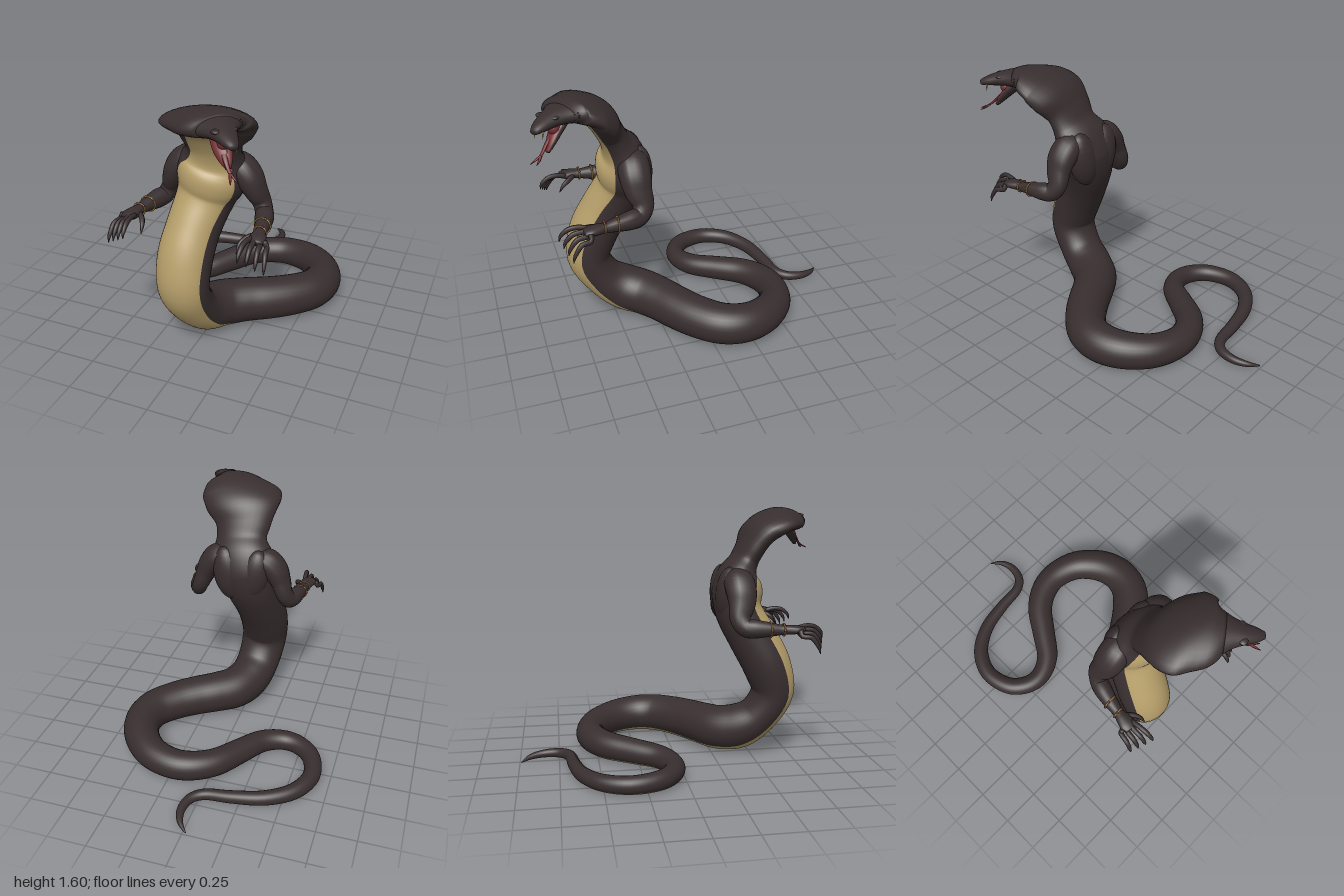
import * as THREE from 'three';

const flat = (name, color) => Object.assign(new THREE.MeshStandardMaterial({ color }), { name });
const mats = {
  hide: flat('dark hide', 0x382e2f),
  belly: flat('tan belly', 0xb59e6a),
  mouth: flat('mouth red', 0x722e32),
  bone: flat('fang bone', 0xc4b283),
  gold: flat('bracelet gold', 0xa5873f),
};
const rad = THREE.MathUtils.degToRad;

// Sweeps an oval along rows of [x, y, z, halfWidth, halfDepth, bellyPitch, bellyStart, droop, yaw].
// The belly faces +z at pitch 0 and down at pitch 90; it gets the second material.
// Droop lowers the right edge; yaw turns the section about the belly direction.
function sweep(name, rows, back, belly, steps = 4, nBelly = 16, nBack = 20) {
  const curve = (f) => new THREE.CatmullRomCurve3(rows.map((r) => new THREE.Vector3(...f(r))), false, 'catmullrom', 0.5);
  const path = curve((r) => [r[0], r[1], r[2]]);
  const size = curve((r) => [r[3], r[4], r[7] || 0]);
  const turn = curve((r) => [rad(r[5]), rad(r[6] ?? 30), rad(r[8] || 0)]);
  const n = (rows.length - 1) * steps, cols = nBelly + nBack;
  const pos = [], backIdx = [], bellyIdx = [];
  for (let i = 0; i <= n; i++) {
    const u = i / n, c = path.getPoint(u), s = size.getPoint(u), p = turn.getPoint(u);
    const t = path.getTangent(u);
    const b = new THREE.Vector3(0, -Math.sin(p.x), Math.cos(p.x));
    b.addScaledVector(t, -b.dot(t)).normalize();
    const side = new THREE.Vector3().crossVectors(b, t).applyAxisAngle(b, p.z);
    for (let j = 0; j < cols; j++) {
      const a = j < nBelly
        ? p.y + (Math.PI - 2 * p.y) * (j / nBelly)
        : Math.PI - p.y + (Math.PI + 2 * p.y) * ((j - nBelly) / nBack);
      const ca = Math.cos(a);
      const v = c.clone().addScaledVector(side, s.x * ca)
        .addScaledVector(b, s.y * Math.sin(a) + s.z * ca * (1 + ca) / 2);
      pos.push(v.x, v.y, v.z);
    }
  }
  for (let i = 0; i < n; i++) for (let j = 0; j < cols; j++) {
    const k = (j + 1) % cols, o = i * cols, q = o + cols;
    (j < nBelly ? bellyIdx : backIdx).push(o + j, o + k, q + j, o + k, q + k, q + j);
  }
  // End caps
  const first = path.getPoint(0), last = path.getPoint(1), m = pos.length / 3;
  pos.push(first.x, first.y, first.z, last.x, last.y, last.z);
  for (let j = 0; j < cols; j++) {
    const k = (j + 1) % cols;
    backIdx.push(m, k, j, m + 1, n * cols + j, n * cols + k);
  }
  const g = new THREE.BufferGeometry();
  g.setAttribute('position', new THREE.Float32BufferAttribute(pos, 3));
  g.setIndex([...backIdx, ...bellyIdx]);
  g.addGroup(0, backIdx.length, 0);
  g.addGroup(backIdx.length, bellyIdx.length, 1);
  g.computeVertexNormals();
  const mesh = new THREE.Mesh(g, [back, belly]);
  mesh.name = name;
  return mesh;
}

function blob(name, mat, p, s) {
  const mesh = new THREE.Mesh(new THREE.SphereGeometry(1, 20, 14), mat);
  mesh.name = name;
  mesh.position.set(...p);
  mesh.scale.set(...s);
  return mesh;
}

function fang(name, p, length, up) {
  const mesh = new THREE.Mesh(new THREE.ConeGeometry(0.007, length, 8), mats.bone);
  mesh.name = name;
  mesh.position.set(...p);
  mesh.rotation.x = up ? 0.2 : Math.PI - 0.15;
  return mesh;
}

// Coiled tail lying on the ground, from tip to base: [x, z, radius]
const coil = [
  [-0.02, -0.99, 0.004], [0.035, -0.93, 0.018], [0.062, -0.84, 0.026], [0.04, -0.74, 0.031],
  [-0.04, -0.68, 0.035], [-0.2, -0.66, 0.04], [-0.4, -0.615, 0.046], [-0.56, -0.51, 0.051],
  [-0.635, -0.35, 0.055], [-0.6, -0.18, 0.059], [-0.5, -0.085, 0.062], [-0.38, -0.065, 0.066],
  [-0.25, -0.13, 0.073], [-0.14, -0.28, 0.081], [-0.03, -0.43, 0.088], [0.1, -0.515, 0.093],
  [0.24, -0.535, 0.097], [0.4, -0.48, 0.105], [0.52, -0.35, 0.115], [0.567, -0.2, 0.123],
  [0.535, -0.06, 0.128], [0.43, 0.06, 0.132], [0.305, 0.155, 0.136], [0.185, 0.23, 0.14],
].map(([x, z, r]) => [x, r + 0.01, z, r, r, 90, 45, 0, 0]);

// Raised body, torso, neck and hood
const raised = [
  [0.07, 0.155, 0.32, 0.148, 0.146, 85, 42, 0, 0],
  [0, 0.183, 0.44, 0.15, 0.148, 65, 36, 0, 0],
  [-0.035, 0.27, 0.56, 0.152, 0.128, 42, 32, 0, 0],
  [-0.055, 0.43, 0.645, 0.16, 0.138, 5, 30, 0, 0],
  [-0.06, 0.61, 0.6, 0.168, 0.155, -20, 30, 0, 0],
  [-0.04, 0.78, 0.512, 0.165, 0.155, -25, 30, 0, 0],
  [0, 0.95, 0.425, 0.178, 0.15, -15, 30, 0, 0],
  [0.035, 1.08, 0.418, 0.212, 0.162, 0, 32, 0, 0],
  [0.06, 1.18, 0.425, 0.205, 0.13, 10, 42, 0, 0],
  [0.075, 1.27, 0.468, 0.17, 0.09, 18, 46, 0, 0],
  [0.08, 1.36, 0.513, 0.192, 0.085, 25, 52, 0.01, 0],
  [0.1, 1.45, 0.567, 0.243, 0.09, 42, 58, 0.035, 0],
  [0.132, 1.517, 0.655, 0.262, 0.076, 65, 61, 0.05, 3],
  [0.185, 1.54, 0.747, 0.207, 0.073, 85, 61, 0.035, 13],
  [0.25, 1.542, 0.808, 0.118, 0.058, 90, 58, 0.015, 10],
];

// Upper head and snout
const skull = [
  [0.225, 1.542, 0.785, 0.142, 0.061, 90, 45, 0.02, 11],
  [0.28, 1.54, 0.84, 0.09, 0.05, 90, 45, 0.01, 8],
  [0.327, 1.532, 0.89, 0.062, 0.04, 90, 45, 0, 3],
  [0.373, 1.52, 0.938, 0.042, 0.028, 90, 45, 0, 0],
  [0.403, 1.51, 0.967, 0.022, 0.015, 90, 45, 0, 0],
];

const jaw = [
  [0.255, 1.49, 0.8, 0.055, 0.03, -55, 15],
  [0.285, 1.45, 0.84, 0.052, 0.03, -55, 15],
  [0.317, 1.405, 0.872, 0.038, 0.022, -55, 15],
  [0.343, 1.363, 0.897, 0.014, 0.01, -55, 15],
];

// One arm with hand, fingers and bracelets; s is +1 for left, -1 for right
function arm(s) {
  const g = new THREE.Group();
  g.name = s > 0 ? 'leftArm' : 'rightArm';
  const X = (x) => 0.04 + s * x;
  const limb = (name, pts, steps, n) => sweep(name,
    pts.map(([x, y, z, w, d, p]) => [X(x), y, z, w, d, p]), mats.hide, mats.hide, steps, n, n);
  g.add(limb('armLimb', [
    [0.09, 1.185, 0.39, 0.06, 0.08, 0], [0.16, 1.155, 0.392, 0.09, 0.096, 0],
    [0.22, 1.1, 0.395, 0.085, 0.096, 0], [0.258, 1.03, 0.39, 0.068, 0.085, 0],
    [0.29, 0.95, 0.372, 0.056, 0.066, -10], [0.318, 0.895, 0.4, 0.054, 0.058, -50],
    [0.34, 0.888, 0.46, 0.056, 0.058, -90], [0.36, 0.887, 0.54, 0.046, 0.045, -90],
    [0.375, 0.885, 0.62, 0.034, 0.031, -90], [0.383, 0.887, 0.67, 0.044, 0.029, -90],
    [0.39, 0.887, 0.715, 0.05, 0.025, -90], [0.396, 0.885, 0.75, 0.034, 0.015, -90],
  ], 4, 10));
  // Clawed fingers
  for (let k = 0; k < 4; k++) {
    const x = 0.358 + 0.025 * k, f = 0.013 * (k - 0.8), drop = 0.016 * k, z = -0.018 * k;
    g.add(limb('finger', [
      [x, 0.89, 0.715, 0.017, 0.016, -60], [x + f * 0.6, 0.903 - drop, 0.775 + z, 0.016, 0.015, -60],
      [x + f, 0.895 - drop, 0.83 + z, 0.015, 0.015, -60], [x + f * 1.3, 0.862 - drop * 1.5, 0.872 + z, 0.011, 0.011, -50],
      [x + f * 1.4, 0.825 - drop * 1.6, 0.884 + z, 0.002, 0.002, -30],
    ], 3, 5));
  }
  g.add(limb('thumb', [
    [0.365, 0.885, 0.66, 0.019, 0.018, -60], [0.32, 0.875, 0.7, 0.016, 0.016, -60],
    [0.298, 0.852, 0.74, 0.013, 0.013, -60], [0.292, 0.81, 0.77, 0.002, 0.002, -50],
  ], 3, 5));
  // Bracelets with red stones
  for (const [x, z, r] of [[0.361, 0.545, 0.047], [0.375, 0.625, 0.037]]) {
    const ring = new THREE.Mesh(new THREE.TorusGeometry(r, 0.005, 8, 28), mats.gold);
    ring.name = 'bracelet';
    ring.position.set(X(x), 0.886, z);
    g.add(ring);
    for (const a of [0, 1.2, 2.4]) {
      g.add(blob('braceletStone', mats.mouth,
        [X(x + r * Math.cos(a)), 0.886 + r * Math.sin(a), z], [0.008, 0.008, 0.008]));
    }
  }
  // Long back muscle beside the spine
  const muscle = blob('backMuscle', mats.hide, [X(0.085), 1.06, 0.345], [0.105, 0.19, 0.085]);
  muscle.rotation.z = -s * 0.2;
  g.add(muscle);
  return g;
}

export function createModel() {
  const model = new THREE.Group();
  model.name = 'hoodedSerpent';
  model.add(sweep('body', [...coil, ...raised], mats.hide, mats.belly, 5, 18, 24));
  model.add(arm(1), arm(-1));

  const head = new THREE.Group();
  head.name = 'head';
  head.add(sweep('upperHead', skull, mats.hide, mats.mouth, 5));
  head.add(sweep('lowerJaw', jaw, mats.hide, mats.mouth, 5));
  head.add(blob('throat', mats.mouth, [0.297, 1.48, 0.848], [0.036, 0.038, 0.036]));
  // Paired details, placed across the head's line of sight
  for (const s of [1, -1]) {
    const across = (x, y, z, d) => [x + s * d * 0.68, y, z - s * d * 0.73];
    head.add(fang('upperFang', across(0.378, 1.482, 0.94, 0.026), 0.05, false));
    head.add(fang('lowerFang', across(0.332, 1.392, 0.887, 0.016), 0.03, true));
    head.add(blob('brow', mats.hide, across(0.312, 1.557, 0.877, 0.045), [0.026, 0.012, 0.026]));
    // Forked tongue tips
    head.add(sweep('tongueTip', [
      [0.368, 1.36, 0.937, 0.009, 0.006, -90], [...across(0.39, 1.342, 0.962, 0.012), 0.007, 0.005, -90],
      [...across(0.408, 1.33, 0.985, 0.02), 0.002, 0.002, -90],
    ], mats.mouth, mats.mouth, 4, 5, 5));
  }
  head.add(sweep('tongue', [
    [0.29, 1.455, 0.85, 0.016, 0.008, -70], [0.322, 1.415, 0.892, 0.014, 0.007, -70],
    [0.347, 1.38, 0.918, 0.011, 0.007, -70], [0.37, 1.359, 0.939, 0.01, 0.006, -70],
  ], mats.mouth, mats.mouth, 4, 6, 6));
  model.add(head);
  return model;
}
